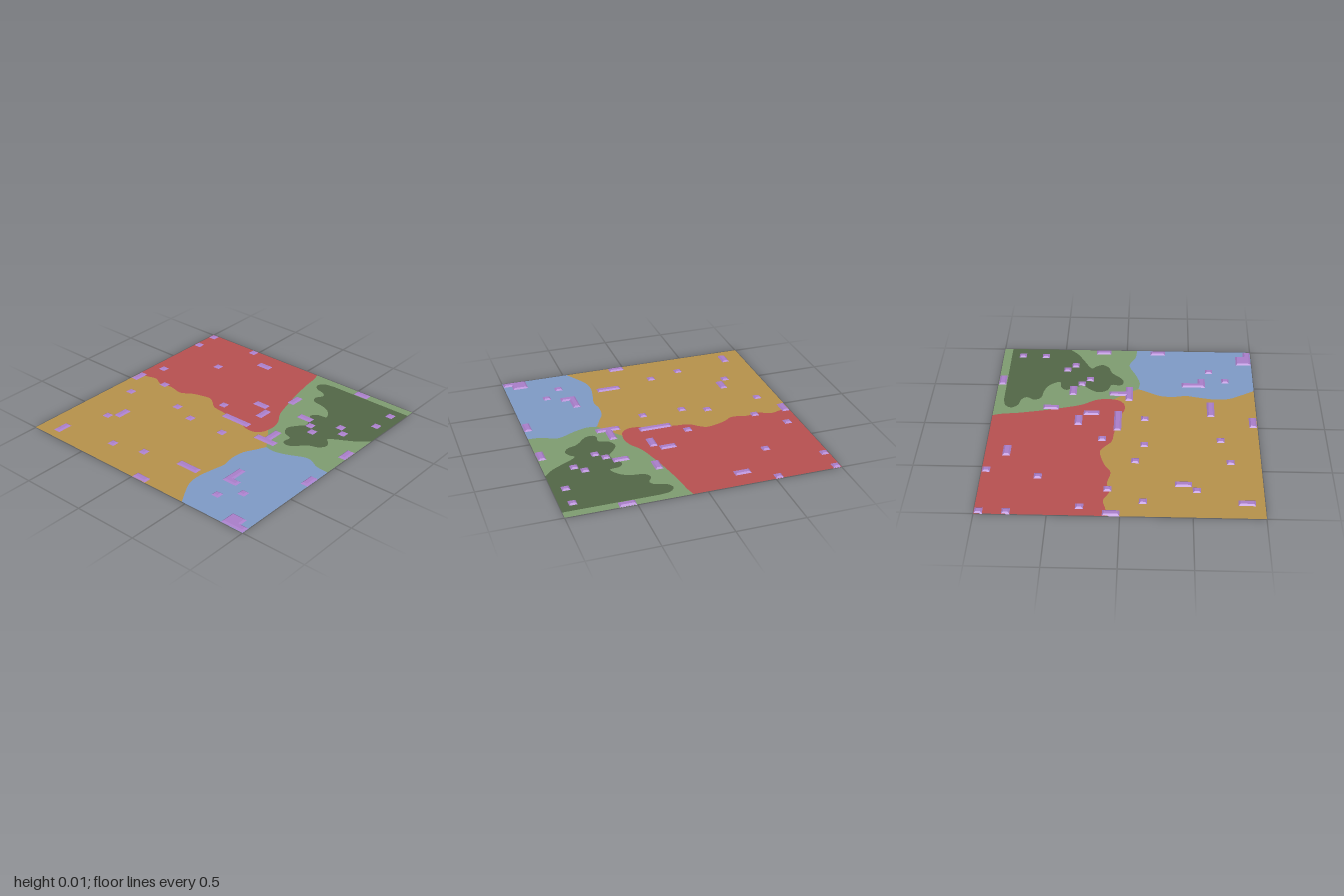
import * as THREE from 'three';
import { mergeGeometries } from 'three/addons/utils/BufferGeometryUtils.js';

const CELL = 2 / 32, HEIGHT = 0.012, BEVEL = 0.016, GROUND = 0.002;

const material = (name, color, side = THREE.FrontSide) =>
  new THREE.MeshStandardMaterial({ name, color, side });

// Smooth border through [x, z] points, sampled in the shape plane (x, -z)
function border(points) {
  const curve = new THREE.SplineCurve(points.map(([x, z]) => new THREE.Vector2(x, -z)));
  return curve.getPoints(points.length * 6);
}
const corner = (x, z) => [new THREE.Vector2(x, -z)];
const back = (line) => [...line].reverse();

// Flat region of the map, closed from border pieces
function region(name, mat, ...pieces) {
  const outline = pieces.flat().filter((p, i, all) => i === 0 || p.distanceTo(all[i - 1]) > 1e-5);
  if (outline[0].distanceTo(outline[outline.length - 1]) < 1e-5) outline.pop();
  const geometry = new THREE.ShapeGeometry(new THREE.Shape(outline)).rotateX(-Math.PI / 2);
  const mesh = new THREE.Mesh(geometry.translate(0, GROUND, 0), mat);
  mesh.name = name;
  return mesh;
}

// Low block with sloping sides over a right-angled outline given in grid cells
function block(cells) {
  let pts = cells.map(([i, j]) => new THREE.Vector2(i * CELL - 1, 1 - j * CELL));
  if (THREE.ShapeUtils.isClockWise(pts)) pts = pts.reverse();
  const n = pts.length;
  const inset = pts.map((p, k) => {
    const a = p.clone().sub(pts[(k + n - 1) % n]).normalize();
    const b = pts[(k + 1) % n].clone().sub(p).normalize();
    return new THREE.Vector2(p.x - (a.y + b.y) * BEVEL, p.y + (a.x + b.x) * BEVEL);
  });
  const geometry = new THREE.ExtrudeGeometry(new THREE.Shape(pts), { depth: HEIGHT, bevelEnabled: false });
  const pos = geometry.attributes.position;
  for (let v = 0; v < pos.count; v++) {
    if (pos.getZ(v) < HEIGHT / 2) continue;
    const k = pts.findIndex((p) => Math.hypot(p.x - pos.getX(v), p.y - pos.getY(v)) < 1e-4);
    pos.setXY(v, inset[k].x, inset[k].y);
  }
  geometry.computeVertexNormals();
  return geometry.rotateX(-Math.PI / 2);
}
const rectangle = ([i, j, w = 1, h = 1]) => block([[i, j], [i + w, j], [i + w, j + h], [i, j + h]]);

export function createModel() {
  const model = new THREE.Group();
  model.name = 'regionMap';
  const gold = material('sandGold', 0xb8934c, THREE.DoubleSide);
  const red = material('clayRed', 0xb95151, THREE.DoubleSide);
  const blue = material('waterBlue', 0x809cc8, THREE.DoubleSide);
  const green = material('grassGreen', 0x809e72, THREE.DoubleSide);
  const dark = material('forestGreen', 0x536847, THREE.DoubleSide);
  const purple = material('blockPurple', 0xab80cc);

  // Shared borders between the regions
  const goldRed = border([[0.1, -1], [0.1, -0.93], [0.12, -0.84], [0.08, -0.75], [0.1, -0.66], [0.08, -0.54],
    [0.13, -0.45], [0.165, -0.32], [0.14, -0.26], [0.085, -0.19], [0.07, -0.09], [0.05, 0.03], [0.03, 0.12],
    [0, 0.2], [0.005, 0.27], [0.045, 0.315], [0.09, 0.33]]);
  const redGreen = border([[0.09, 0.33], [0.15, 0.335], [0.23, 0.315], [0.33, 0.255], [0.46, 0.215],
    [0.6, 0.18], [0.8, 0.14], [0.92, 0.125], [1, 0.105]]);
  const goldBlue = border([[-1, 0.47], [-0.9, 0.41], [-0.8, 0.36], [-0.69, 0.35], [-0.55, 0.375],
    [-0.47, 0.39], [-0.37, 0.375], [-0.27, 0.385], [-0.18, 0.43], [-0.1, 0.47]]);
  const goldGreen = border([[-0.1, 0.47], [0, 0.4], [0.09, 0.33]]);
  const blueGreen = border([[-0.1, 0.47], [-0.11, 0.55], [-0.08, 0.65], [-0.03, 0.76], [-0.03, 0.82],
    [-0.07, 0.9], [-0.08, 1]]);
  const forestEdge = border([[0.46, 1], [0.4, 0.94], [0.35, 0.86], [0.3, 0.77], [0.27, 0.74], [0.24, 0.77],
    [0.19, 0.79], [0.14, 0.755], [0.11, 0.68], [0.03, 0.6], [0.02, 0.54], [0.05, 0.515], [0.11, 0.52],
    [0.14, 0.45], [0.21, 0.42], [0.28, 0.46], [0.33, 0.5], [0.4, 0.48], [0.46, 0.445], [0.505, 0.48],
    [0.52, 0.55], [0.6, 0.5], [0.635, 0.42], [0.65, 0.34], [0.7, 0.31], [0.76, 0.34], [0.8, 0.31],
    [0.82, 0.24], [0.87, 0.205], [0.92, 0.24], [0.935, 0.32]]);

  model.add(
    region('sandRegion', gold, corner(-1, -1), goldRed, back(goldGreen), back(goldBlue)),
    region('clayRegion', red, goldRed, redGreen, corner(1, -1)),
    region('waterRegion', blue, goldBlue, blueGreen, corner(-1, 1)),
    region('grassRegion', green, goldGreen, redGreen, corner(1, 1), corner(0.935, 1),
      back(forestEdge), back(blueGreen)),
    region('forestRegion', dark, forestEdge, corner(0.935, 1)),
  );

  // Straight blocks: column, row, width, depth in cells
  const straight = [
    [1, 2, 2], [7, 4], [8, 5, 2], [13, 2], [16, 0, 2], [17, 4], [20, 1], [28, 0], [31, 0], [25, 6], [31, 7],
    [29, 10, 1, 2], [3, 9], [14, 9], [13, 12], [4, 13], [18, 13], [0, 16, 1, 2], [13, 17], [16.25, 15, 1, 4],
    [19, 18, 2], [21, 16, 1, 2], [24, 19, 2], [5, 18, 1, 3], [22, 22, 1, 2], [21, 24], [20, 25],
    [31, 24, 1, 2], [23, 27], [22, 28], [26, 30], [29, 30], [18, 31, 2], [11, 31, 2], [5, 27], [3, 25],
  ];
  // Angled blocks: outline corners in cells
  const angled = [
    [[15, 21], [16, 21], [16, 22], [18, 22], [18, 23], [16, 23], [16, 24], [15, 24]],
    [[0, 29], [2, 29], [2, 31], [1, 31], [1, 32], [0, 32]],
    [[6, 24], [9, 24], [9, 25], [7, 25], [7, 26], [6, 26]],
  ];
  const blocks = new THREE.Mesh(mergeGeometries([...straight.map(rectangle), ...angled.map(block)]), purple);
  blocks.name = 'raisedBlocks';
  model.add(blocks);
  return model;
}
